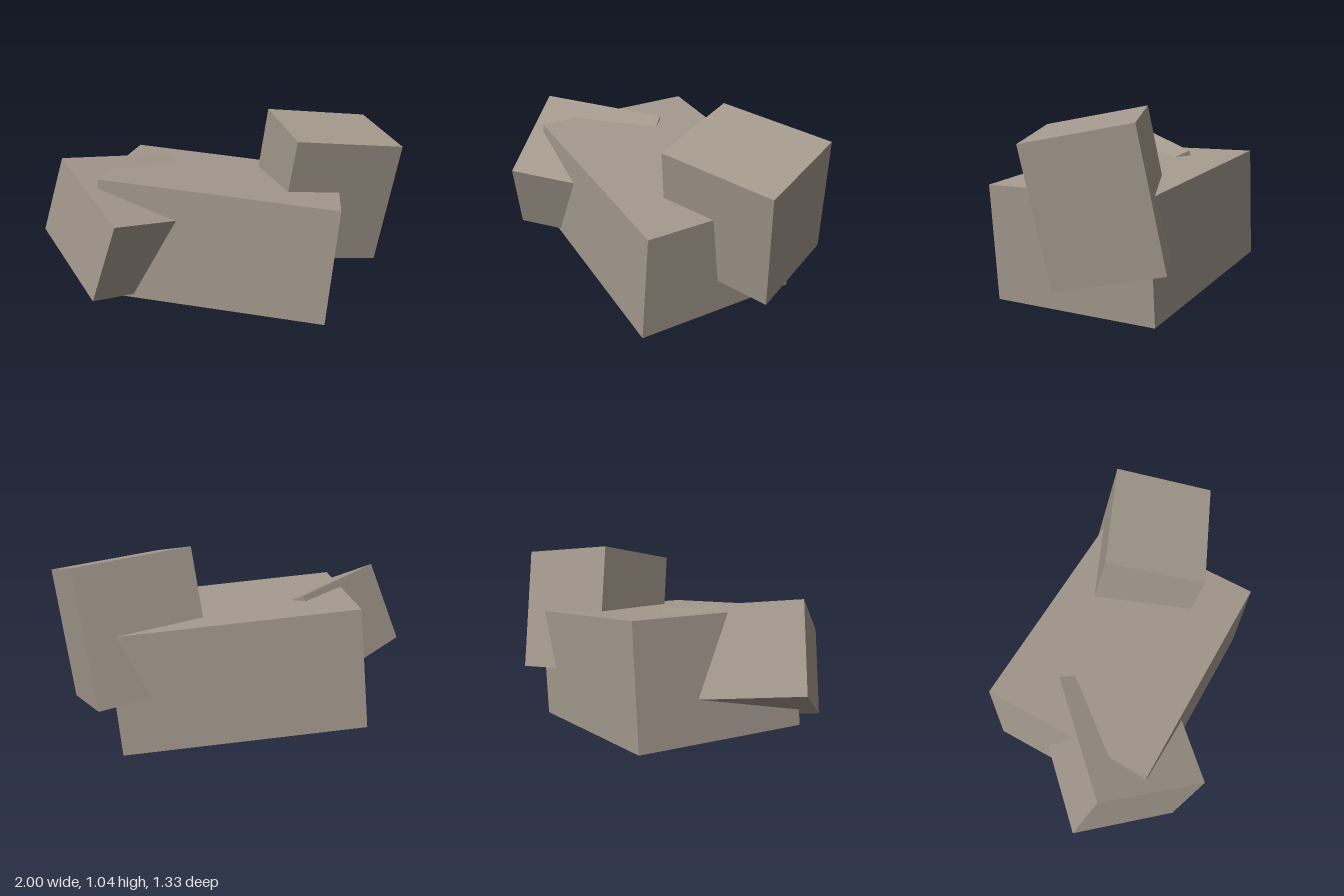
import * as THREE from 'three';

const stone = new THREE.MeshStandardMaterial({ color: 0xa4998d });
stone.name = 'warmGreyStone';

// Slightly irregular block spanned by three edges (right-handed order) from one corner.
function block(name, corner, ...edges) {
  const [a, b, c] = edges.map((e) => new THREE.Vector3(...e));
  const geometry = new THREE.BoxGeometry(1, 1, 1)
    .translate(0.5, 0.5, 0.5)
    .applyMatrix4(new THREE.Matrix4().makeBasis(a, b, c));
  const mesh = new THREE.Mesh(geometry, stone);
  mesh.name = name;
  mesh.position.set(...corner);
  return mesh;
}

export function createModel() {
  const group = new THREE.Group();
  group.name = 'rockBlocks';

  // Large slab, tipped slightly down towards +x
  group.add(block('mainSlab', [-0.665, 0.128, -0.553],
    [1.263, -0.127, 0], [0.06, 0.631, 0], [0, 0, 0.952]));

  // Upright block at the back on +x, hanging down from its top face
  group.add(block('uprightBlock', [0.235, 1.042, -0.31],
    [0.57, -0.06, -0.25], [0.19, -0.1, 0.5], [-0.11, -0.692, -0.104]));

  // Leaning block at the front on -x, driven into the slab
  group.add(block('leaningBlock', [-0.845, 0.835, 0.252],
    [0.397, -0.25, 0.417], [-0.158, -0.436, -0.088], [0.488, -0.07, -0.518]));

  return group;
}
